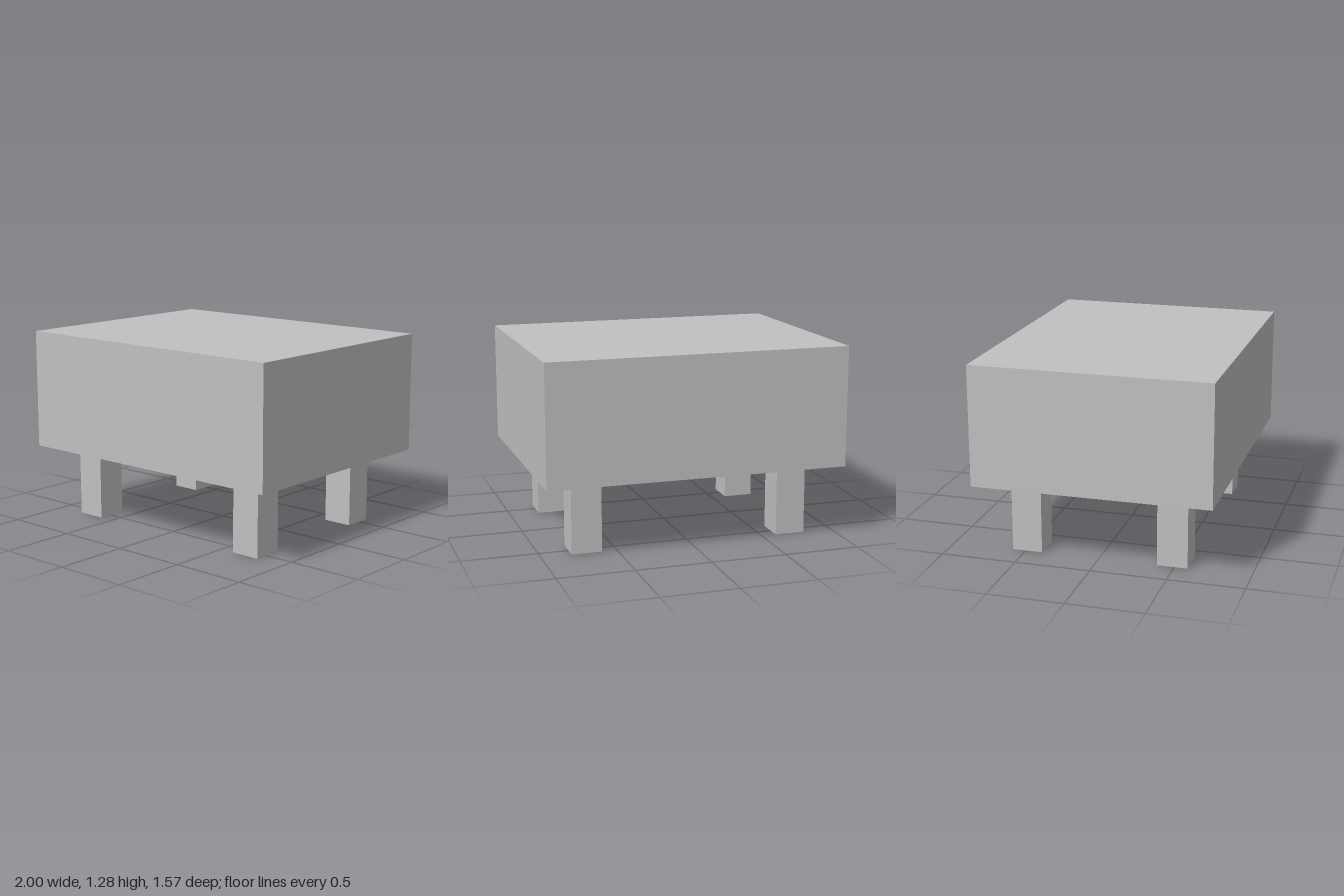
import * as THREE from 'three';

export function createModel() {
  const model = new THREE.Group();
  model.name = 'footstool';
  const grey = new THREE.MeshStandardMaterial({ color: 0xc0c0c0 });
  grey.name = 'light grey';

  const bodyBottom = 0.487, bodyTop = 1.285;

  function addBox(name, w, h, d, x, y, z) {
    const mesh = new THREE.Mesh(new THREE.BoxGeometry(w, h, d), grey);
    mesh.name = name;
    mesh.position.set(x, y, z);
    model.add(mesh);
  }

  // thick block seat
  addBox('seat', 2, bodyTop - bodyBottom, 1.57, 0, (bodyTop + bodyBottom) / 2, 0);

  // four square legs, set in from the corners
  for (const [side, sx] of [['Left', 1], ['Right', -1]]) {
    for (const [end, sz] of [['front', 1], ['back', -1]]) {
      addBox(`${end}${side}Leg`, 0.2, bodyBottom, 0.2, sx * 0.7, bodyBottom / 2, sz * 0.487);
    }
  }
  return model;
}
